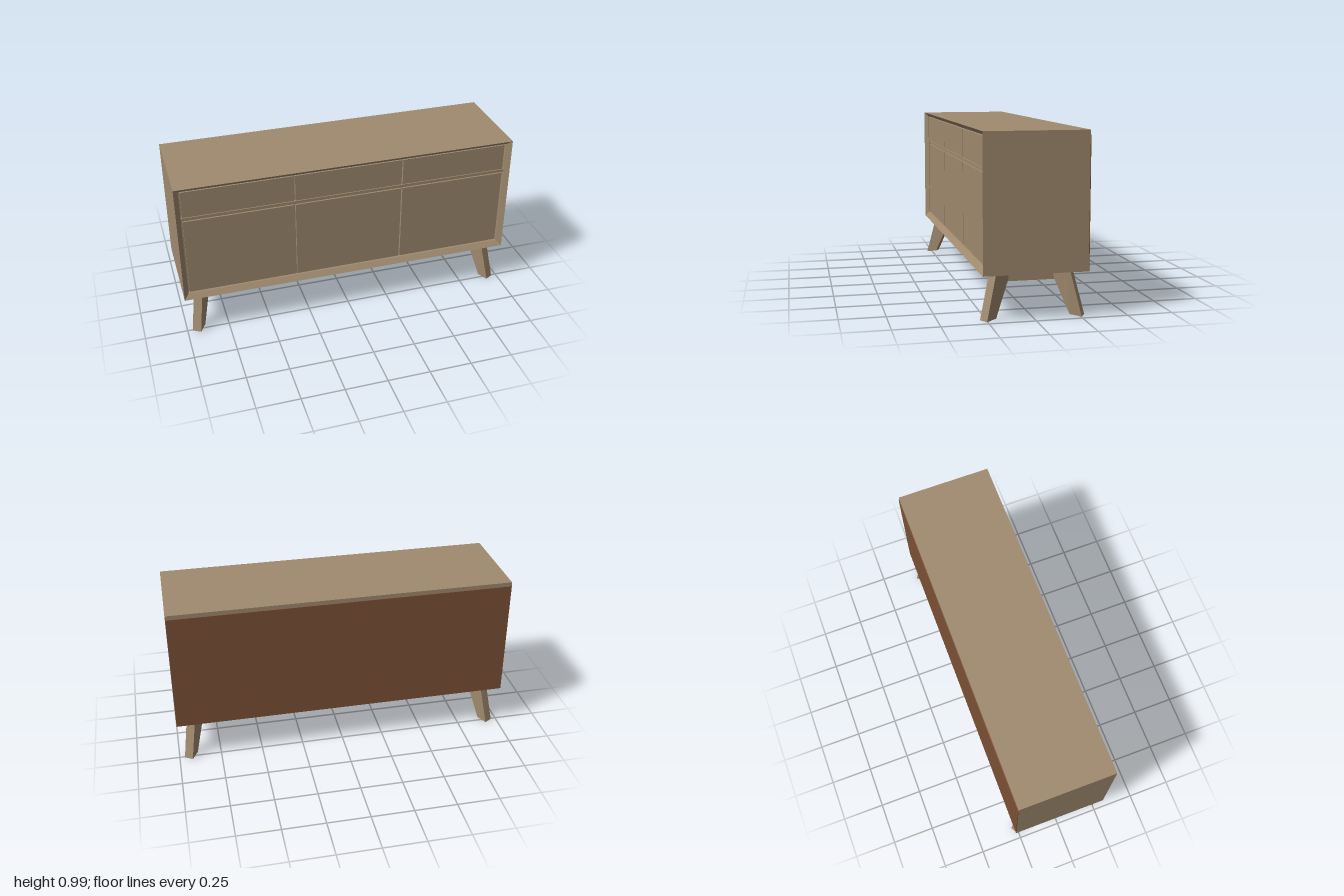
import * as THREE from 'three';

const wood = new THREE.MeshStandardMaterial({ color: 0xa08a6e });
wood.name = 'wood';
const backBrown = new THREE.MeshStandardMaterial({ color: 0x7c5034 });
backBrown.name = 'backBrown';

// Skin a stack of four-cornered loops, with flat faces and both ends capped.
// Loops run counter-clockwise when seen from the last loop's end.
function loft(loops) {
  const pos = [];
  const quad = (a, b, c, d) => pos.push(...a, ...b, ...c, ...a, ...c, ...d);
  for (let i = 0; i + 1 < loops.length; i++) {
    for (let k = 0; k < 4; k++) {
      const n = (k + 1) % 4;
      quad(loops[i][k], loops[i][n], loops[i + 1][n], loops[i + 1][k]);
    }
  }
  const [a, b, c, d] = loops[0];
  quad(d, c, b, a);
  quad(...loops[loops.length - 1]);
  const geo = new THREE.BufferGeometry();
  geo.setAttribute('position', new THREE.Float32BufferAttribute(pos, 3));
  geo.computeVertexNormals();
  return geo;
}

export function createModel() {
  const model = new THREE.Group();
  model.name = 'sideboard';

  const add = (name, geo, mat = wood, parent = model) => {
    const mesh = new THREE.Mesh(geo, mat);
    mesh.name = name;
    parent.add(mesh);
    return mesh;
  };
  // Box given by its limits on each axis
  const box = (name, x0, x1, y0, y1, z0, z1, mat) => {
    const mesh = add(name, new THREE.BoxGeometry(x1 - x0, y1 - y0, z1 - z0), mat);
    mesh.position.set((x0 + x1) / 2, (y0 + y1) / 2, (z0 + z1) / 2);
  };

  // Cabinet shell: the front rim slopes inwards to a shallow recess
  const rect = (x, y0, y1, z) => [[-x, y0, z], [x, y0, z], [x, y1, z], [-x, y1, z]];
  add('cabinet', loft([
    rect(1, 0.248, 0.985, -0.28),
    rect(1, 0.248, 0.985, 0.283),
    rect(0.972, 0.278, 0.96, 0.258),
    rect(0.972, 0.278, 0.96, 0.238),
  ]));

  // Back panel, below the edge of the top
  box('backPanel', -0.999, 0.999, 0.25, 0.96, -0.284, -0.279, backBrown);

  // Divider rail with three drawers above and three doors below
  box('dividerRail', -0.972, 0.972, 0.769, 0.787, 0.237, 0.254);
  for (const i of [-1, 0, 1]) {
    const x = i * 0.645;
    box('drawerFront', x - 0.318, x + 0.318, 0.792, 0.953, 0.237, 0.256);
    box('doorFront', x - 0.318, x + 0.318, 0.286, 0.764, 0.237, 0.256);
  }

  // Underframe rails
  for (const s of [-1, 1]) {
    box('longRail', -0.885, 0.885, 0.19, 0.25, s * 0.175 - 0.015, s * 0.175 + 0.015);
    box('sideRail', s * 0.87 - 0.015, s * 0.87 + 0.015, 0.19, 0.25, -0.16, 0.16);
  }

  // Splayed legs, turned towards the corners and wider at the top
  const foot = [[0.925, 0, 0.283], [0.97, 0, 0.255], [0.935, 0.007, 0.199], [0.89, 0.007, 0.227]];
  const head = [[0.888, 0.25, 0.225], [0.935, 0.25, 0.198], [0.873, 0.25, 0.104], [0.826, 0.25, 0.131]];
  for (const sx of [-1, 1]) {
    for (const sz of [-1, 1]) {
      const place = (loop) => {
        const out = loop.map(([x, y, z]) => [x * sx, y, z * sz]);
        return sx * sz < 0 ? out.reverse() : out;
      };
      add((sz > 0 ? 'front' : 'back') + (sx > 0 ? 'Left' : 'Right') + 'Leg', loft([place(foot), place(head)]));
    }
  }

  return model;
}
